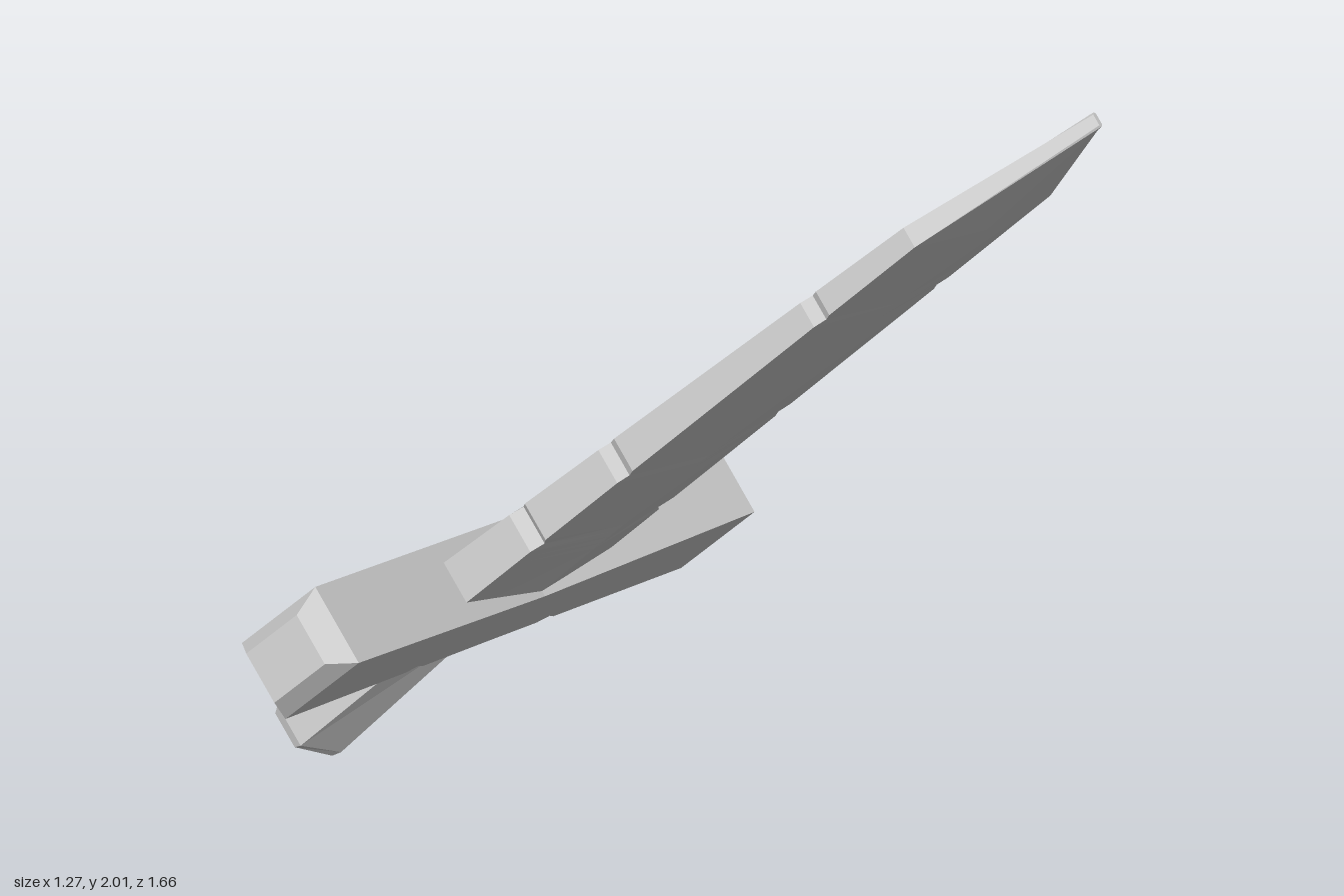
import * as THREE from 'three';

const material = new THREE.MeshStandardMaterial({ color: 0xcccccc, flatShading: true });

// Skin a list of rings (each an array of [x, y, z]) and cap both ends
function loft(name, rings) {
  const n = rings[0].length, index = [];
  for (let s = 0; s < rings.length - 1; s++) {
    for (let i = 0; i < n; i++) {
      const a = s * n + i, b = s * n + (i + 1) % n;
      index.push(a, b, b + n, a, b + n, a + n);
    }
  }
  const last = (rings.length - 1) * n;
  for (let i = 1; i < n - 1; i++) {
    index.push(0, i + 1, i, last, last + i, last + i + 1);
  }
  const indexed = new THREE.BufferGeometry();
  indexed.setAttribute('position', new THREE.Float32BufferAttribute(rings.flat(2), 3));
  indexed.setIndex(index);
  const geometry = indexed.toNonIndexed();
  geometry.computeVertexNormals();
  const mesh = new THREE.Mesh(geometry, material);
  mesh.name = name;
  return mesh;
}

// Six-sided section with a central ridge front and back and flat side edges
const ridged = (y, left, right, edge, ridge) => [
  [0, y, ridge], [right, y, edge], [right, y, -edge],
  [0, y, -ridge], [-left, y, -edge], [-left, y, edge],
];

// Blade: straight sides with small nicks, then a pointed tip
function makeBlade() {
  const base = 0, shoulder = 1.565, tip = 1.96;
  const nicks = [
    { y: 0.28, side: 'right', depth: 0.025 }, { y: 0.33, side: 'left', depth: 0.02 },
    { y: 0.615, side: 'left', depth: 0.014 }, { y: 0.67, side: 'right', depth: 0.014 },
    { y: 1.2, side: 'right', depth: 0.014 }, { y: 1.26, side: 'left', depth: 0.014 },
  ];
  const section = (y, cutLeft = 0, cutRight = 0) => {
    const t = y / shoulder;
    const w = THREE.MathUtils.lerp(0.217, 0.202, t);
    return ridged(y, w - cutLeft, w - cutRight,
      THREE.MathUtils.lerp(0.046, 0.022, t), THREE.MathUtils.lerp(0.075, 0.04, t));
  };
  const rings = [section(base)];
  for (const { y, side, depth } of nicks) {
    rings.push(section(y - 0.025));
    rings.push(section(y, side === 'left' ? depth : 0, side === 'right' ? depth : 0));
    rings.push(section(y + 0.025));
  }
  rings.push(section(shoulder), ridged(tip, 0.004, 0.004, 0.012, 0.016));
  return loft('blade', rings);
}

// Crossguard: bar with bevelled ends, a dipped top and two chips underneath
function makeGuard() {
  const section = (x, top, bottom, w) => [
    [x, top, w], [x, -bottom, w], [x, -bottom, -w], [x, top, -w],
  ];
  const body = (x, chip = 0) => {
    const t = Math.abs(x) / 0.59;
    return section(x, THREE.MathUtils.lerp(0.082, 0.12, t),
      THREE.MathUtils.lerp(0.114, 0.12, t) - chip, 0.085);
  };
  return loft('crossguard', [
    section(-0.632, 0.08, 0.085, 0.055),
    body(-0.59),
    body(-0.235), body(-0.21, 0.016), body(-0.185),
    body(0),
    body(0.155), body(0.18, 0.016), body(0.205),
    body(0.59),
    section(0.632, 0.08, 0.085, 0.055),
  ]);
}

// Grip: ridged handle that flares toward its end
function makeGrip() {
  return loft('grip', [
    ridged(-0.61, 0.08, 0.075, 0.038, 0.08),
    ridged(-0.585, 0.09, 0.088, 0.045, 0.085),
    ridged(-0.1, 0.072, 0.072, 0.03, 0.055),
    ridged(0, 0.07, 0.07, 0.03, 0.05),
  ]);
}

export function createModel() {
  const sword = new THREE.Group();
  sword.name = 'sword';
  sword.add(makeBlade(), makeGuard(), makeGrip());

  // Lean the whole sword forward and to its left
  const along = new THREE.Vector3(0.21, 0.76, 0.615).normalize();
  const front = new THREE.Vector3(0.971, -0.232, -0.05).cross(along).normalize();
  const across = along.clone().cross(front);
  sword.quaternion.setFromRotationMatrix(new THREE.Matrix4().makeBasis(across, along, front));
  sword.position.set(0, 0.515, -0.39);

  const model = new THREE.Group();
  model.name = 'leaningSword';
  model.add(sword);
  return model;
}
